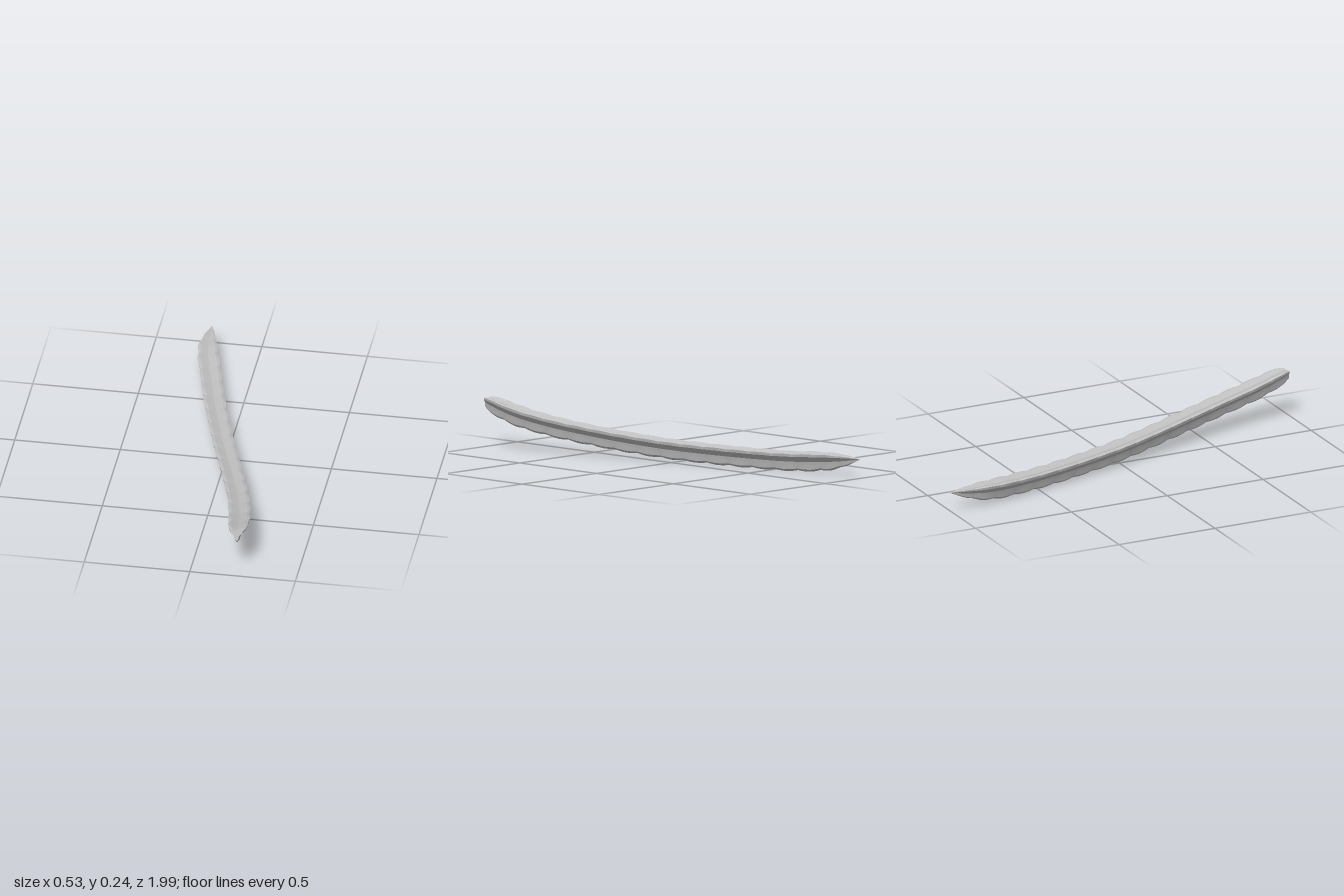
import * as THREE from 'three';

// Piecewise linear lookup in [position, value] pairs
function lookup(table, x) {
  for (let i = 1; i < table.length; i++) {
    const [x0, y0] = table[i - 1], [x1, y1] = table[i];
    if (x <= x1) return y0 + (y1 - y0) * Math.max(0, (x - x0) / (x1 - x0));
  }
  return table[table.length - 1][1];
}

export function createModel() {
  const group = new THREE.Group();
  group.name = 'ribbedStem';
  const grey = new THREE.MeshStandardMaterial({ color: 0xc0c0c0, flatShading: true });
  grey.name = 'stemGrey';

  // Bowed centre line, from the pointed back tip to the cut front end
  const path = new THREE.CatmullRomCurve3([
    [-0.236, 0.1, -1], [-0.222, 0.082, -0.8], [-0.175, 0.071, -0.6], [-0.125, 0.07, -0.4],
    [-0.07, 0.074, -0.2], [-0.012, 0.082, 0], [0.05, 0.098, 0.2], [0.11, 0.12, 0.4],
    [0.163, 0.146, 0.6], [0.2, 0.18, 0.8], [0.22, 0.229, 0.985],
  ].map(p => new THREE.Vector3(...p)));

  // Rib reach along z, tapering at both ends
  const reach = [[-1, 0.001], [-0.96, 0.015], [-0.9, 0.034], [-0.82, 0.05], [-0.72, 0.057],
    [0.8, 0.058], [0.9, 0.054], [0.96, 0.045], [0.985, 0.035]];

  // Three-ribbed section: angle from the rib crest, relative radius, share of scalloping
  const rib = [[-30, 0.53, 0.3], [-12, 0.85, 0.8], [0, 1, 1], [12, 0.85, 0.8], [30, 0.53, 0.3], [60, 0.39, 0]];
  const section = [30, 150, 270].flatMap(base => rib.map(([a, r, w]) =>
    [THREE.MathUtils.degToRad(base + a), r, w]));

  const rings = 136, n = section.length, bumps = 17;
  const positions = [], indices = [];
  const up = new THREE.Vector3(0, 1, 0);
  for (let i = 0; i <= rings; i++) {
    const t = i / rings;
    const c = path.getPointAt(t), dir = path.getTangentAt(t);
    const side = up.clone().cross(dir).normalize();
    const top = dir.clone().cross(side);
    const size = lookup(reach, c.z);
    // Rounded swellings with tight notches between them
    const wave = Math.abs(Math.sin(Math.PI * bumps * t)) - 0.7;
    for (const [a, r, w] of section) {
      const d = size * r * (1 + 0.11 * w * wave);
      const p = c.clone().addScaledVector(side, d * Math.cos(a)).addScaledVector(top, d * Math.sin(a));
      positions.push(p.x, p.y, p.z);
    }
  }
  for (let i = 0; i < rings; i++) {
    for (let j = 0; j < n; j++) {
      const a = i * n + j, b = i * n + (j + 1) % n;
      indices.push(a, b, a + n, b, b + n, a + n);
    }
  }
  const stemGeometry = new THREE.BufferGeometry();
  stemGeometry.setAttribute('position', new THREE.Float32BufferAttribute(positions, 3));
  stemGeometry.setIndex(indices);
  stemGeometry.computeVertexNormals();
  const stem = new THREE.Mesh(stemGeometry, grey);
  stem.name = 'stem';

  // Flat cut at the front end
  const end = path.getPointAt(1);
  const capPoints = [end.x, end.y, end.z, ...positions.slice(-n * 3)];
  const capIndices = [];
  for (let j = 0; j < n; j++) capIndices.push(0, 1 + j, 1 + (j + 1) % n);
  const capGeometry = new THREE.BufferGeometry();
  capGeometry.setAttribute('position', new THREE.Float32BufferAttribute(capPoints, 3));
  capGeometry.setIndex(capIndices);
  capGeometry.computeVertexNormals();
  const cap = new THREE.Mesh(capGeometry, grey);
  cap.name = 'cutEnd';

  group.add(stem, cap);
  return group;
}
